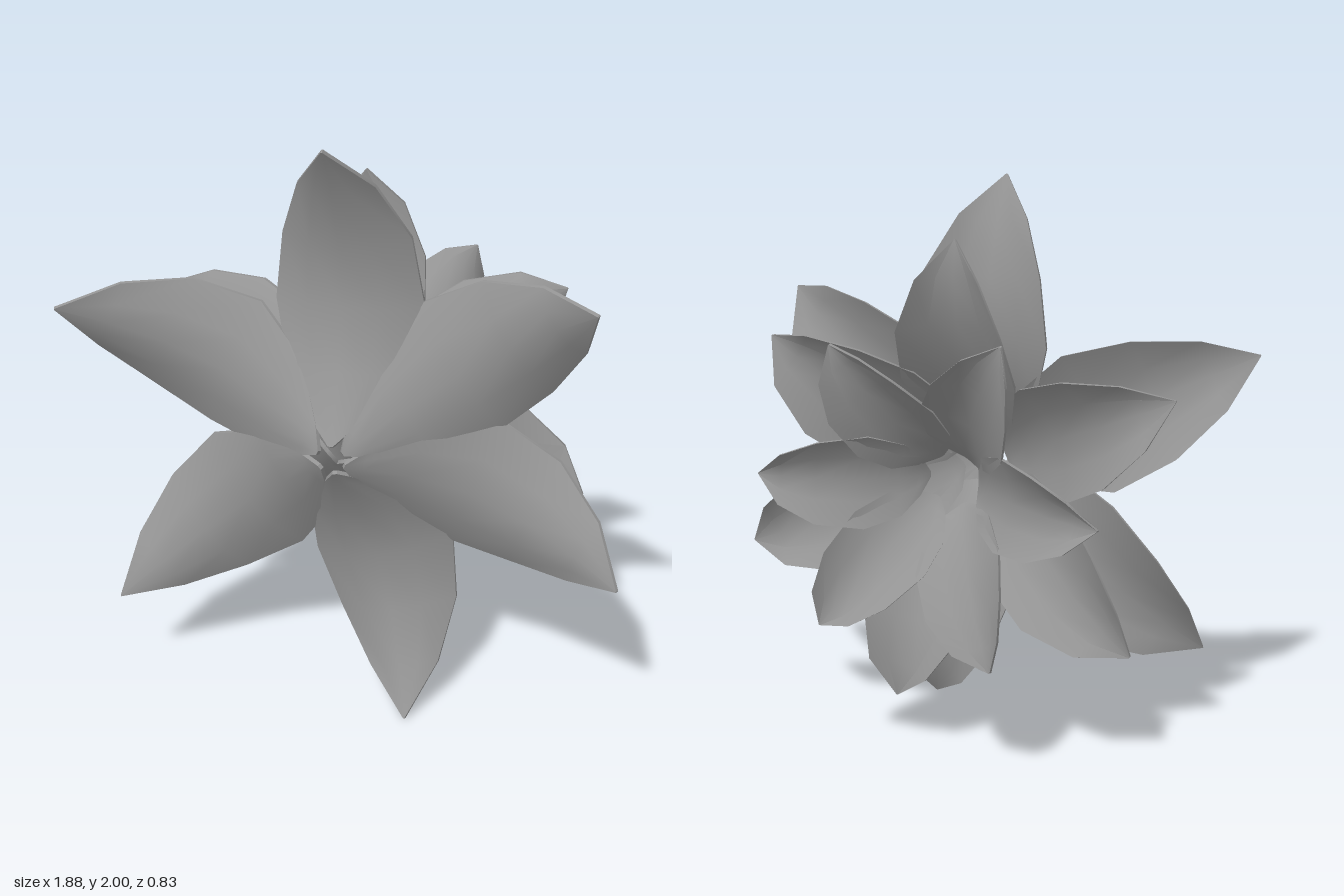
import * as THREE from 'three';
import { toCreasedNormals } from 'three/addons/utils/BufferGeometryUtils.js';

const THICKNESS = 0.014;
const COLUMNS = [-1, -0.5, 0, 0.5, 1];

// petals: slightly uneven directions (degrees) and length factors
// rows: distance from centre, z of midrib, half width, cup depth
const OUTER = [[91.5, 1.0], [35, 0.99], [-21, 1.0], [-76, 1.025], [220, 1.035], [156.3, 1.03]];
const INNER = [[58, 0.97], [4, 0.975], [-52, 1.0], [246, 1.015], [183, 1.0], [118, 0.985]];
const WHORLS = [
  {
    name: 'frontPetal', petals: OUTER, rows: [
      [0.045, 0.405, 0.008, 0], [0.1, 0.37, 0.065, 0.015], [0.25, 0.28, 0.185, 0.05],
      [0.45, 0.215, 0.25, 0.085], [0.655, 0.232, 0.213, 0.09], [0.842, 0.295, 0.125, 0.055],
      [1.0, 0.38, 0.002, 0],
    ],
  },
  {
    name: 'middlePetal', petals: OUTER, rows: [
      [0.085, 0.235, 0.01, 0], [0.12, 0.205, 0.08, 0.02], [0.21, 0.13, 0.15, 0.05],
      [0.37, 0.01, 0.205, 0.075], [0.54, -0.073, 0.185, 0.092], [0.695, -0.113, 0.11, 0.065],
      [0.815, -0.108, 0.002, 0],
    ],
  },
  {
    name: 'backPetal', petals: INNER, rows: [
      [0.095, -0.06, 0.01, 0], [0.12, -0.1, 0.065, 0.015], [0.17, -0.155, 0.125, 0.04],
      [0.27, -0.235, 0.16, 0.06], [0.41, -0.315, 0.14, 0.075], [0.52, -0.357, 0.085, 0.055],
      [0.6, -0.375, 0.002, 0],
    ],
  },
];

// Thin cupped leaf lofted through closed cross-sections along +x
function petalGeometry(rows) {
  const positions = [], index = [];
  const ring = COLUMNS.length * 2;
  rows.forEach(([r, z, half, cup], i) => {
    const a = rows[Math.max(i - 1, 0)], b = rows[Math.min(i + 1, rows.length - 1)];
    const length = Math.hypot(b[0] - a[0], b[1] - a[1]);
    // normal of the midrib, pointing to the inside of the flower
    const nx = (b[1] - a[1]) / length, nz = -(b[0] - a[0]) / length;
    const put = (u, offset) => {
      const d = cup * u * u + offset;
      positions.push(r + nx * d, half * u, z + nz * d);
    };
    COLUMNS.forEach(u => put(u, THICKNESS / 2));
    COLUMNS.forEach(u => put(-u, -THICKNESS / 2));
  });
  for (let i = 0; i < rows.length - 1; i++) {
    for (let k = 0; k < ring; k++) {
      const a = i * ring + k, b = i * ring + (k + 1) % ring;
      index.push(a, b, a + ring, b, b + ring, a + ring);
    }
  }
  // close base and tip
  const last = (rows.length - 1) * ring;
  for (let k = 1; k < ring - 1; k++) {
    index.push(0, k + 1, k, last, last + k, last + k + 1);
  }
  const geometry = new THREE.BufferGeometry();
  geometry.setAttribute('position', new THREE.Float32BufferAttribute(positions, 3));
  geometry.setIndex(index);
  return toCreasedNormals(geometry, 0.8);
}

export function createModel() {
  const flower = new THREE.Group();
  flower.name = 'flower';
  const material = new THREE.MeshStandardMaterial({ color: 0x949494 });

  // Three whorls of six petals stacked along the flower's axis
  for (const { name, petals, rows } of WHORLS) {
    const whorl = new THREE.Group();
    whorl.name = name + 'Whorl';
    const geometry = petalGeometry(rows);
    for (const [angle, stretch] of petals) {
      const petal = new THREE.Mesh(geometry, material);
      petal.name = name;
      petal.rotation.z = THREE.MathUtils.degToRad(angle);
      petal.scale.x = stretch;
      whorl.add(petal);
    }
    flower.add(whorl);
  }
  flower.position.y = 1;

  const model = new THREE.Group();
  model.add(flower);
  return model;
}
